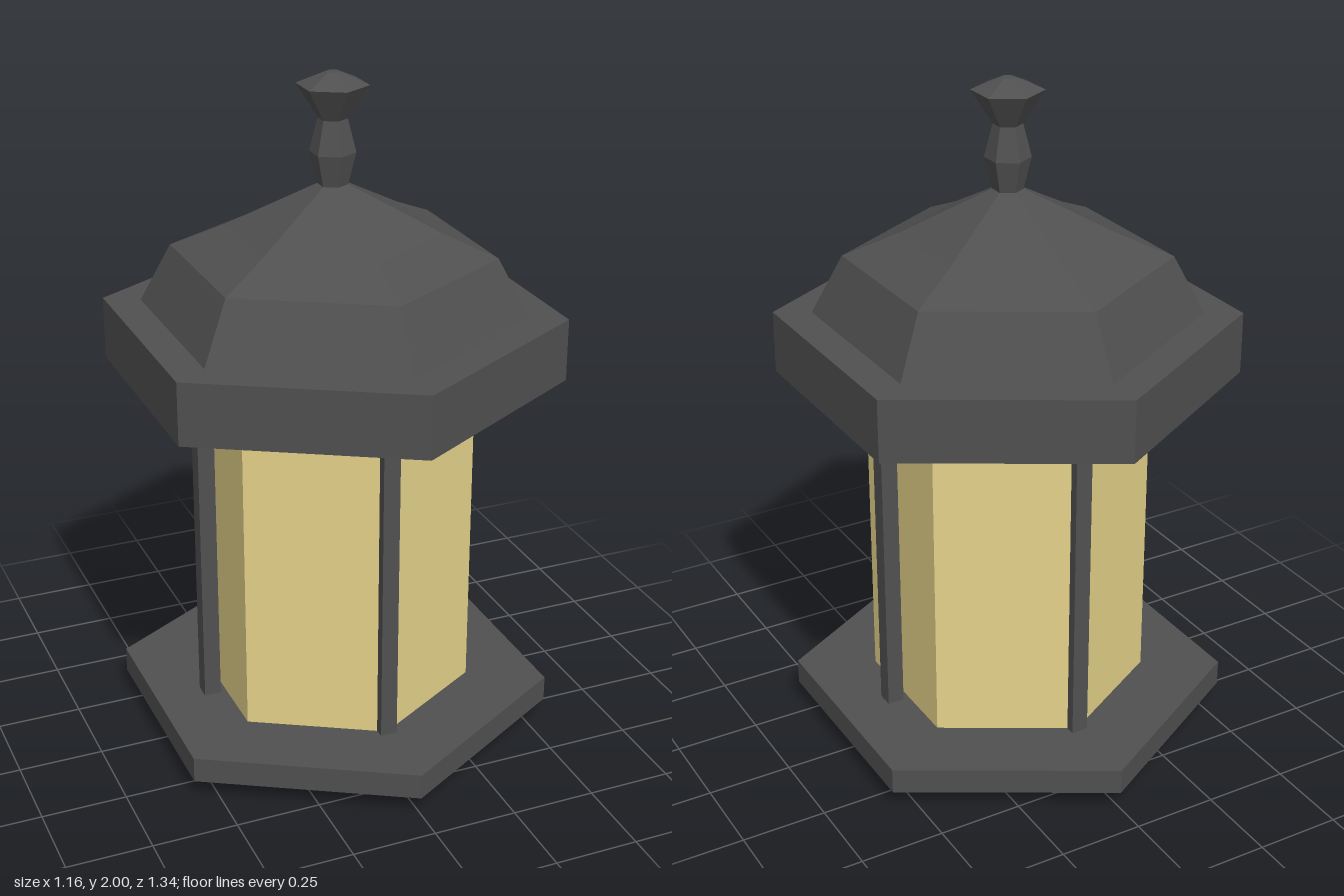
import * as THREE from 'three';

const metal = new THREE.MeshStandardMaterial({ color: 0x505050 });
metal.name = 'darkMetal';
const glass = new THREE.MeshStandardMaterial({ color: 0xe6d38a });
glass.name = 'amberGlass';

// Six-sided turned part from [radius, height] points, with flat faces
function hexLathe(name, points, material) {
  const profile = points.map(([r, y]) => new THREE.Vector2(r, y));
  const geometry = new THREE.LatheGeometry(profile, 6).toNonIndexed();
  geometry.computeVertexNormals();
  const mesh = new THREE.Mesh(geometry, material);
  mesh.name = name;
  return mesh;
}

export function createModel() {
  const group = new THREE.Group();
  group.name = 'lantern';

  // Foot ring with a raised pad inside it, under the base plate
  group.add(hexLathe('footRing', [[0.52, 0.055], [0.52, 0], [0.56, 0], [0.56, 0.055]], metal));
  group.add(hexLathe('footPad', [[0, 0.02], [0.46, 0.02], [0.46, 0.055]], metal));
  group.add(hexLathe('basePlate', [[0, 0.055], [0.655, 0.055], [0.655, 0.132], [0, 0.132]], metal));

  // Lamp body
  group.add(hexLathe('glassBody', [[0.413, 0.13], [0.413, 1.24]], glass));

  // Four upright posts
  for (let i = 0; i < 4; i++) {
    const post = new THREE.Mesh(new THREE.BoxGeometry(0.05, 1.11, 0.05), metal);
    const a = (i * Math.PI) / 2;
    post.position.set(0.402 * Math.sin(a), 0.685, 0.402 * Math.cos(a));
    post.name = 'post';
    group.add(post);
  }

  // Roof rim, recessed underneath
  group.add(hexLathe('roofRim', [
    [0, 1.24], [0.57, 1.24], [0.57, 1.125], [0.672, 1.125], [0.672, 1.31], [0.55, 1.31],
  ], metal));

  // Steep lower skirt and shallow upper slope
  group.add(hexLathe('roof', [
    [0.56, 1.31], [0.468, 1.483], [0.31, 1.55], [0.043, 1.683], [0, 1.683],
  ], metal));

  // Finial
  group.add(hexLathe('finial', [
    [0.043, 1.68], [0.066, 1.775], [0.042, 1.87], [0.103, 1.965], [0.02, 2], [0, 2],
  ], metal));

  return group;
}
